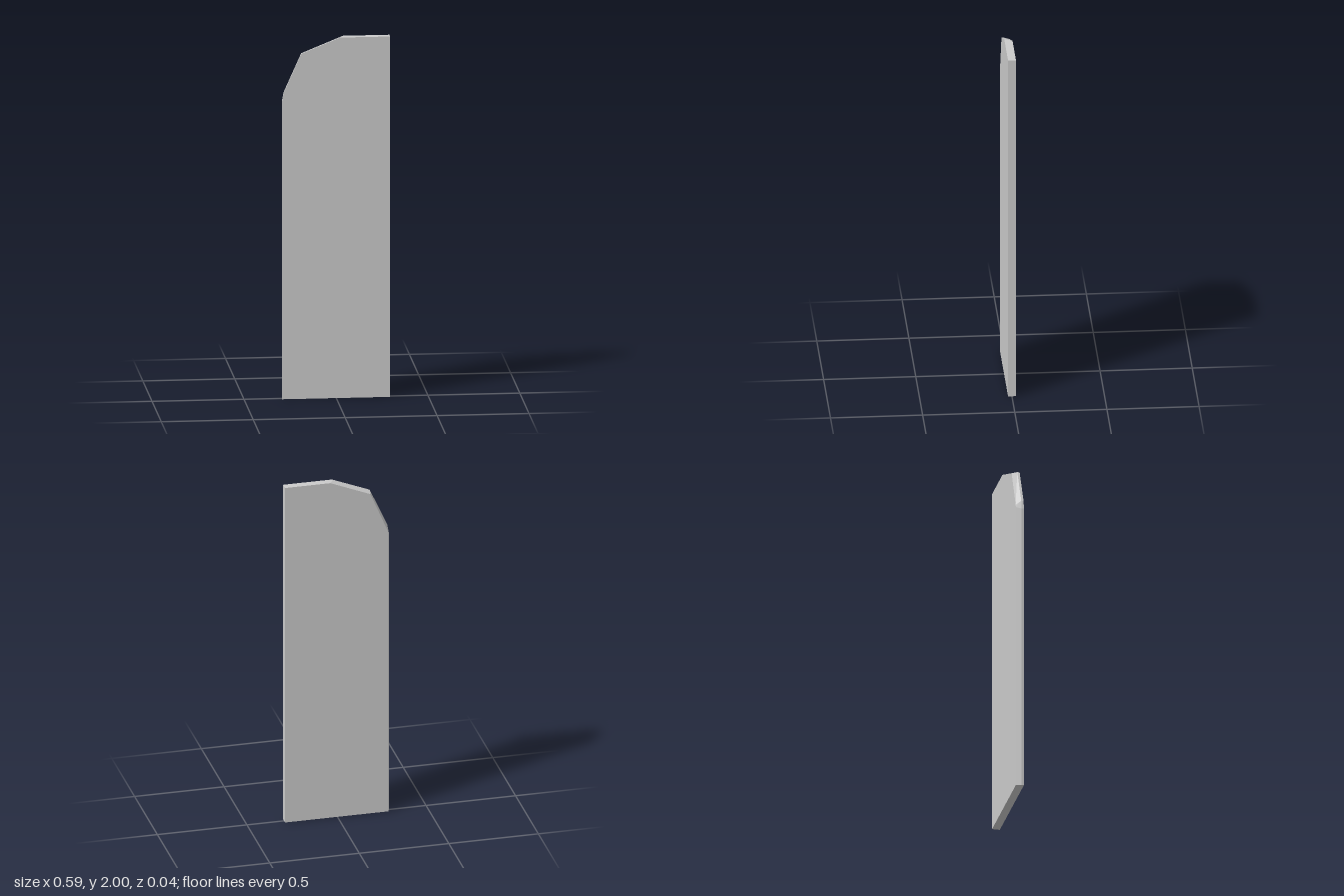
import * as THREE from 'three';

// Outlines run counter-clockwise seen from the front, starting at the bottom left corner.
const frontOutline = [
  [-0.295, 0], [0.293, 0], [0.293, 2], [0.02, 2], [-0.19, 1.915], [-0.286, 1.7], [-0.295, 1.65],
];
// The back is slightly narrower along the left edge and the clipped corner.
const backOutline = [
  [-0.285, 0], [0.293, 0], [0.293, 2], [0.04, 2], [-0.184, 1.908], [-0.282, 1.675], [-0.285, 1.66],
];

// Joins equal-length rings, listed front to back, and closes both ends.
function loft(rings) {
  const positions = [];
  const tri = (a, b, c) => positions.push(...a, ...b, ...c);
  const n = rings[0].length;
  for (let r = 0; r < rings.length - 1; r++) {
    const f = rings[r], b = rings[r + 1];
    for (let i = 0; i < n; i++) {
      const j = (i + 1) % n;
      tri(f[i], b[i], b[j]);
      tri(f[i], b[j], f[j]);
    }
  }
  const first = rings[0], last = rings[rings.length - 1];
  for (let i = 1; i < n - 1; i++) {
    tri(first[0], first[i], first[i + 1]);
    tri(last[0], last[i + 1], last[i]);
  }
  const geometry = new THREE.BufferGeometry();
  geometry.setAttribute('position', new THREE.Float32BufferAttribute(positions, 3));
  geometry.computeVertexNormals();
  return geometry;
}

export function createModel() {
  const group = new THREE.Group();
  group.name = 'clippedPanel';
  const ring = (outline, z) => outline.map(([x, y]) => [x, y, z]);

  // Flat panel: square front rim, tapering towards the back
  const panel = new THREE.Mesh(
    loft([ring(frontOutline, 0.021), ring(frontOutline, 0.008), ring(backOutline, -0.022)]),
    new THREE.MeshStandardMaterial({ color: 0xcccccc, flatShading: true }),
  );
  panel.name = 'panel';
  group.add(panel);
  return group;
}
